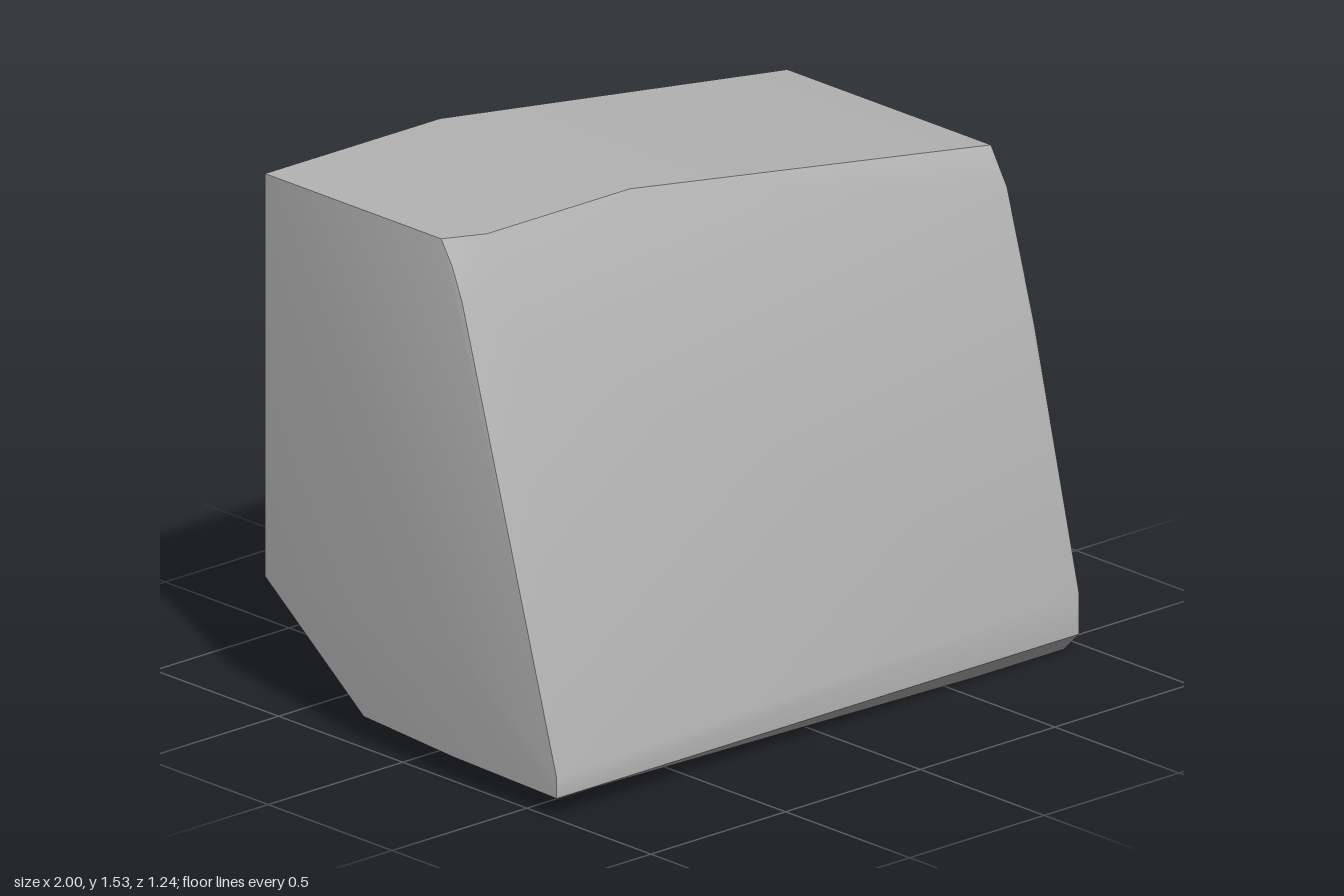
import * as THREE from 'three';
import { ConvexGeometry } from 'three/addons/geometries/ConvexGeometry.js';
import { toCreasedNormals } from 'three/addons/utils/BufferGeometryUtils.js';

// Corners of the faceted block, grouped by region: [x, y, z]
const backFace = [
  [-0.94, 1.53, -0.62], [-0.29, 1.53, -0.62], [1, 1.355, -0.62],
  [1, 0.295, -0.62], [-0.07, 0.295, -0.62], [-0.94, 0.36, -0.62],
];
const topFrontEdge = [
  [-0.94, 1.53, 0.09], [-0.82, 1.53, 0.145], [-0.29, 1.53, 0.145], [1, 1.355, 0.2],
];
const frontBevel = [
  [-0.94, 1.46, 0.135], [-0.945, 1.37, 0.18], [-0.8, 1.24, 0.265], [1, 1.25, 0.265],
];
const rightSide = [[1, 0.88, 0.375], [1, 0.115, -0.2]];
const leftSide = [[-1, 0.4, 0.2], [-1, 0.07, 0.2], [-0.97, 0.075, -0.19]];
const foot = [
  [-1, 0.12, 0.62], [-1, 0.06, 0.62], [0.94, 0.18, 0.62], [0.94, 0.06, 0.62],
  [0.94, 0, 0.56], [0.94, 0, -0.09], [0.6, 0, 0.56], [0.6, 0, -0.09],
];

export function createModel() {
  const group = new THREE.Group();
  group.name = 'stoneBlock';

  const stone = new THREE.MeshStandardMaterial({ color: 0xb4b4b4 });
  stone.name = 'stone grey';

  // Convex chunk: crisp main edges, soft shading across the shallow bevels
  const corners = [backFace, topFrontEdge, frontBevel, rightSide, leftSide, foot]
    .flat()
    .map((p) => new THREE.Vector3(...p));
  const geometry = toCreasedNormals(new ConvexGeometry(corners), THREE.MathUtils.degToRad(32));
  const block = new THREE.Mesh(geometry, stone);
  block.name = 'block';
  group.add(block);

  return group;
}
